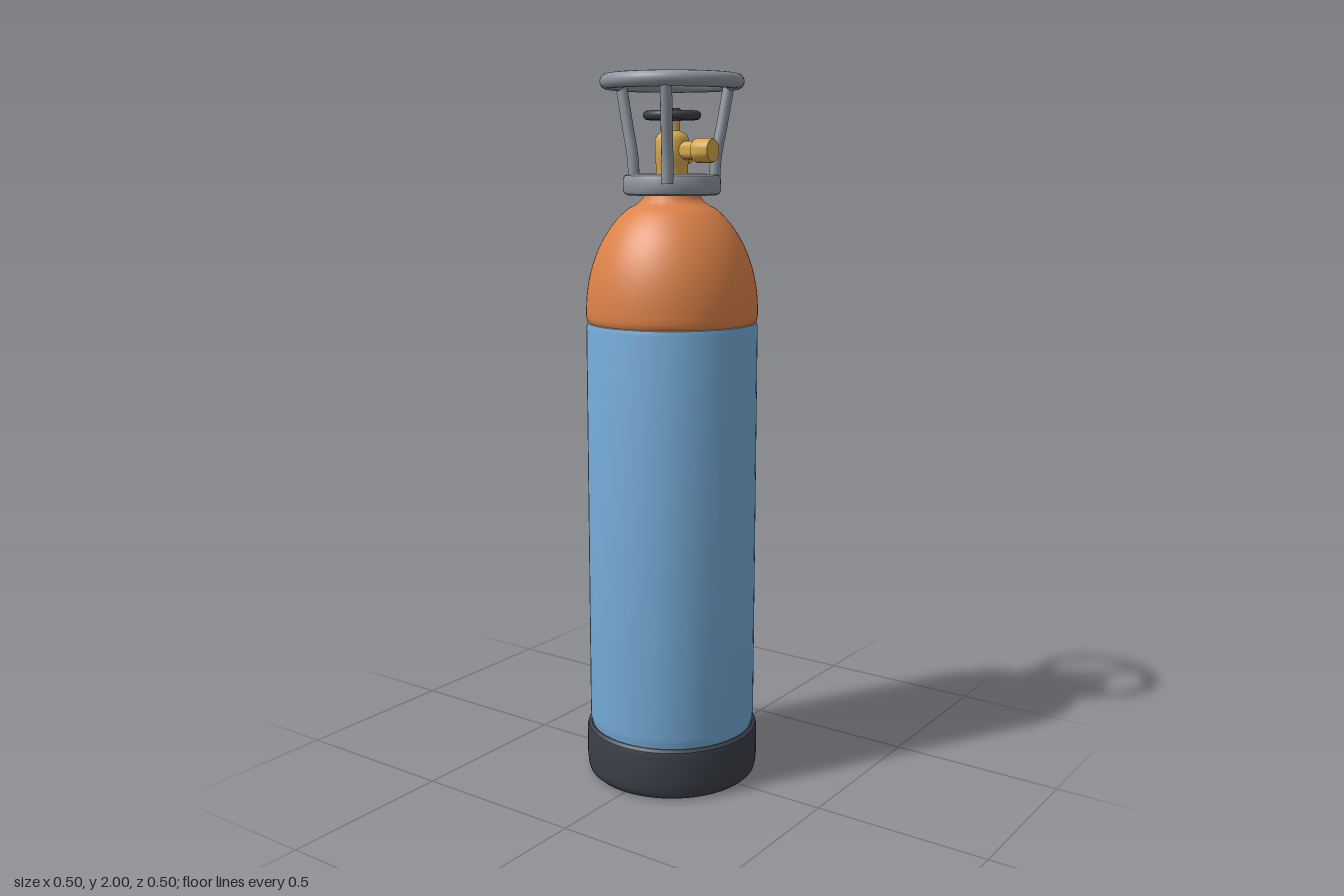
import * as THREE from 'three';
import { toCreasedNormals } from 'three/addons/utils/BufferGeometryUtils.js';

const material = (name, color) => new THREE.MeshStandardMaterial({ name, color });

export function createModel() {
  const blue = material('body blue', 0x74aad6);
  const orange = material('shoulder orange', 0xdd8248);
  const dark = material('dark rubber', 0x3b3f48);
  const grey = material('guard grey', 0x8f96a0);
  const brass = material('valve brass', 0xd6aa4e);

  const model = new THREE.Group();
  model.name = 'gasCylinder';

  function add(name, geometry, mat, parent = model) {
    const mesh = new THREE.Mesh(geometry, mat);
    mesh.name = name;
    parent.add(mesh);
    return mesh;
  }
  // Turned part from [radius, height] pairs, listed from bottom to top
  const turned = (profile, sides = 48) => toCreasedNormals(
    new THREE.LatheGeometry(profile.map(([r, y]) => new THREE.Vector2(r, y)), sides), 0.6);

  // Rubber foot: a closed ring, open in the middle
  add('footRing', turned([
    [0.2, 0.14], [0.2, 0.012], [0.208, 0.003], [0.22, 0], [0.235, 0.002], [0.244, 0.01], [0.248, 0.025],
    [0.25, 0.05], [0.25, 0.13], [0.247, 0.143], [0.238, 0.15], [0.2, 0.15], [0.2, 0.14],
  ], 64), dark);

  // Tank body with a recessed bottom
  add('tankBody', turned([
    [0, 0.055], [0.21, 0.055], [0.235, 0.09], [0.235, 0.15], [0.239, 0.165],
    [0.24, 0.18], [0.24, 1.315], [0.237, 1.327], [0.23, 1.333], [0, 1.333],
  ], 64), blue);

  // Domed shoulder running into the neck
  const dome = [[0, 1.325], [0.232, 1.325], [0.238, 1.333], [0.24, 1.345]];
  for (let i = 0; i <= 14; i++) {
    const a = (i / 14) * 1.04;
    dome.push([0.24 * Math.cos(a), 1.36 + 0.325 * Math.sin(a)]);
  }
  dome.push([0.101, 1.65], [0.088, 1.66], [0.08, 1.672], [0.078, 1.7], [0, 1.7]);
  add('shoulder', turned(dome, 64), orange);

  // Guard: collar, three leaning posts and the carrying ring
  const guard = new THREE.Group();
  guard.name = 'guard';
  model.add(guard);
  add('collar', turned([
    [0, 1.677], [0.122, 1.677], [0.131, 1.681], [0.135, 1.69],
    [0.135, 1.72], [0.131, 1.73], [0.122, 1.734], [0, 1.734],
  ]), grey, guard);
  const ring = add('carryRing', new THREE.TorusGeometry(0.176, 0.021, 16, 64), grey, guard);
  ring.rotation.x = Math.PI / 2;
  ring.position.y = 1.98;
  const postPath = new THREE.CatmullRomCurve3([
    [1.71, 0.13], [1.78, 0.135], [1.87, 0.153], [1.98, 0.174],
  ].map(([y, r]) => new THREE.Vector3(0, y, r)));
  const postGeometry = new THREE.TubeGeometry(postPath, 20, 0.016, 14);
  for (let i = 0; i < 3; i++) {
    add('guardPost', postGeometry, grey, guard).rotation.y = Math.PI / 3 + i * Math.PI * 2 / 3;
  }

  // Valve body and stem
  const valve = new THREE.Group();
  valve.name = 'valve';
  model.add(valve);
  add('valveBody', turned([
    [0, 1.72], [0.044, 1.72], [0.044, 1.76], [0.047, 1.768], [0.047, 1.825],
    [0.043, 1.836], [0.034, 1.844], [0.022, 1.85], [0.022, 1.882], [0, 1.882],
  ], 32), brass, valve);

  // Front outlet with its wider nut
  const outlet = add('outlet', turned([
    [0, 0], [0.025, 0], [0.025, 0.078], [0.03, 0.08], [0.033, 0.086],
    [0.033, 0.13], [0.03, 0.135], [0, 0.135],
  ], 32), brass, valve);
  outlet.rotation.x = Math.PI / 2;
  outlet.position.y = 1.797;

  // Relief plug on the left side
  const plug = add('reliefPlug', turned([
    [0, 0], [0.019, 0], [0.019, 0.076], [0.016, 0.084], [0.009, 0.089], [0, 0.09],
  ], 24), brass, valve);
  plug.rotation.z = -Math.PI / 2;
  plug.position.y = 1.78;

  // Handwheel: rim, hub and three spokes
  const wheel = new THREE.Group();
  wheel.name = 'handwheel';
  wheel.position.y = 1.891;
  model.add(wheel);
  add('wheelRim', new THREE.TorusGeometry(0.067, 0.0125, 14, 48), dark, wheel).rotation.x = Math.PI / 2;
  add('wheelHub', turned([
    [0, -0.015], [0.025, -0.015], [0.025, 0.014], [0.021, 0.019], [0, 0.019],
  ], 28), dark, wheel);
  const spokeGeometry = new THREE.CylinderGeometry(0.007, 0.007, 0.06, 12)
    .rotateZ(Math.PI / 2).translate(0.037, 0, 0);
  for (let i = 0; i < 3; i++) {
    add('wheelSpoke', spokeGeometry, dark, wheel).rotation.y = 0.25 + i * Math.PI * 2 / 3;
  }
  return model;
}
